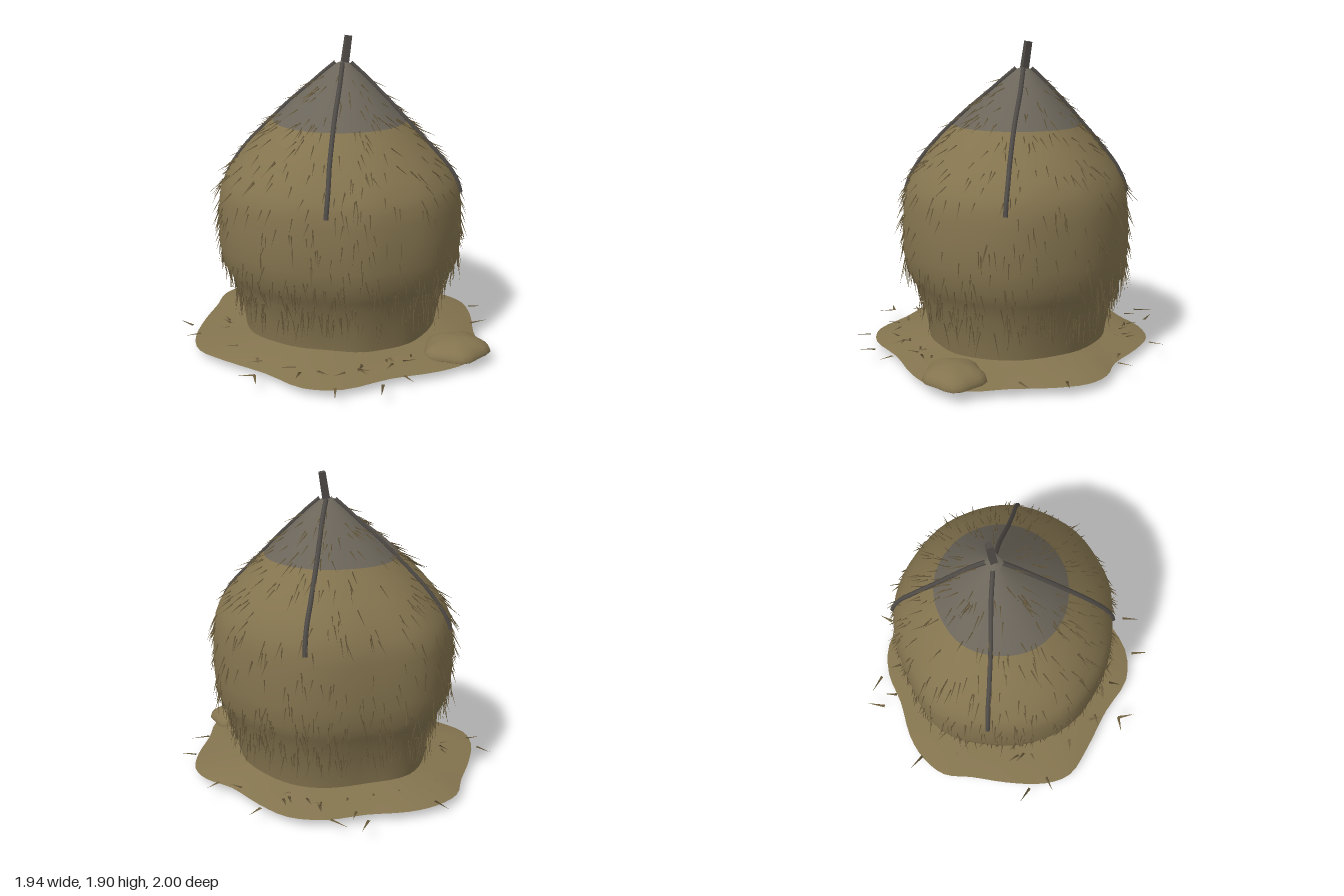
import * as THREE from 'three';
import { mergeGeometries } from 'three/addons/utils/BufferGeometryUtils.js';

const mat = (name, color, side = THREE.FrontSide) => {
  const m = new THREE.MeshStandardMaterial({ color, side });
  m.name = name;
  return m;
};

// Small seeded random source
function seeded(seed) {
  return () => {
    seed = (seed * 16807) % 2147483647;
    return seed / 2147483647;
  };
}

// Stack profile: height, radius, centre x, centre z
const PROFILE = [
  [0.05, 0.58, 0.005, 0], [0.12, 0.587, 0.005, 0], [0.25, 0.608, 0.01, 0], [0.38, 0.645, 0.01, 0],
  [0.46, 0.68, 0.01, 0], [0.54, 0.718, 0.005, 0.005], [0.66, 0.733, 0.0, 0.01], [0.8, 0.733, 0.0, 0.01],
  [0.92, 0.725, 0.0, 0.01], [1.0, 0.713, 0.0, 0.01], [1.07, 0.685, 0.005, 0.01], [1.15, 0.635, 0.01, 0.005],
  [1.24, 0.56, 0.01, 0], [1.32, 0.485, 0.015, -0.005], [1.4, 0.405, 0.02, -0.01], [1.5, 0.305, 0.03, -0.02],
  [1.6, 0.193, 0.045, -0.03], [1.68, 0.105, 0.052, -0.035], [1.73, 0.045, 0.055, -0.038],
];
const CAP_ROW = 14;

// Uneven outline: radius factor every 30 degrees, from +x towards +z
const LOBES = [1.02, 1.05, 1.03, 0.98, 0.93, 0.95, 1.0, 1.01, 1.06, 0.985, 1.0, 0.99];
function lobe(a) {
  const u = (((a / (Math.PI * 2)) % 1) + 1) % 1 * 12;
  const i = Math.floor(u), f = u - i, s = f * f * (3 - 2 * f);
  return LOBES[i % 12] * (1 - s) + LOBES[(i + 1) % 12] * s;
}

// Point on the stack at an angle and height
function stackPoint(a, y, grow = 0) {
  let i = 0;
  while (i < PROFILE.length - 2 && PROFILE[i + 1][0] < y) i++;
  const p = PROFILE[i], q = PROFILE[i + 1];
  const t = (y - p[0]) / (q[0] - p[0]);
  const [r, cx, cz] = [1, 2, 3].map((k) => p[k] + (q[k] - p[k]) * t);
  const k = 1.3 - 0.3 * THREE.MathUtils.smoothstep(y, 0.1, 0.5) - 0.6 * THREE.MathUtils.smoothstep(y, 1.0, 1.4);
  const R = r * (1 + (lobe(a) - 1) * k) + grow;
  return new THREE.Vector3(cx + R * Math.cos(a), y, cz + R * 0.97 * Math.sin(a));
}

// Skin over closed rings; point(row, angle) gives each vertex
function loft(rows, cols, point) {
  const pos = [], idx = [];
  for (let i = 0; i < rows; i++)
    for (let j = 0; j < cols; j++) pos.push(...point(i, (j / cols) * Math.PI * 2).toArray());
  for (let i = 0; i < rows - 1; i++)
    for (let j = 0; j < cols; j++) {
      const a = i * cols + j, b = i * cols + ((j + 1) % cols);
      idx.push(a, a + cols, b, b, a + cols, b + cols);
    }
  const g = new THREE.BufferGeometry();
  g.setAttribute('position', new THREE.Float32BufferAttribute(pos, 3));
  g.setIndex(idx);
  g.computeVertexNormals();
  return g;
}

// One tapered straw from its root to its tip
function straw(root, tip, width) {
  const d = tip.clone().sub(root);
  const g = new THREE.ConeGeometry(width, d.length(), 3);
  g.applyQuaternion(new THREE.Quaternion().setFromUnitVectors(new THREE.Vector3(0, 1, 0), d.normalize()));
  return g.translate(...root.clone().add(tip).multiplyScalar(0.5).toArray());
}

export function createModel() {
  const group = new THREE.Group();
  const hay = mat('hay', 0x84744f, THREE.DoubleSide);
  const cover = mat('weathered cover', 0x6b655a);
  const cord = mat('dark wood and cord', 0x504c48);
  const dry = mat('dry straw', 0x6f6040);
  const add = (name, geometry, material) => {
    const m = new THREE.Mesh(geometry, material);
    m.name = name;
    group.add(m);
    return m;
  };
  const rnd = seeded(4217);
  const V = (x, y, z) => new THREE.Vector3(x, y, z);

  // Stack, with the weathered cap as a second material group
  const cols = 60;
  const stack = loft(PROFILE.length, cols, (i, a) => stackPoint(a, PROFILE[i][0]));
  stack.addGroup(0, CAP_ROW * cols * 6, 0);
  stack.addGroup(CAP_ROW * cols * 6, (PROFILE.length - 1 - CAP_ROW) * cols * 6, 1);
  add('stack', stack, [hay, cover]);
  add('stackTip', new THREE.ConeGeometry(0.046, 0.015, 12).translate(0.055, 1.737, -0.038), cover);
  add('stackBase', loft(2, cols, (i, a) => (i ? stackPoint(a, 0.05) : V(0, 0.05, 0))), cover);

  // Loose mound around the foot, a sloping skin open beneath
  const rim = new THREE.CatmullRomCurve3([
    [0.905, 0.03], [0.86, 0.22], [0.75, 0.45], [0.67, 0.66], [0.5, 0.8], [0.3, 0.83], [0.0, 0.8], [-0.3, 0.81],
    [-0.5, 0.71], [-0.64, 0.47], [-0.82, 0.22], [-0.92, 0.04], [-0.9, -0.14], [-0.78, -0.37], [-0.64, -0.57],
    [-0.54, -0.73], [-0.38, -0.81], [-0.2, -0.83], [0.05, -0.79], [0.28, -0.78], [0.48, -0.69], [0.61, -0.51],
    [0.73, -0.27], [0.86, -0.12],
  ].map(([x, z]) => V(x, 0.05, z)), true);
  add('mound', loft(5, 72, (i, a) => {
    const edge = rim.getPoint((a / (Math.PI * 2)) % 1);
    const dir = Math.atan2(edge.z, edge.x), t = i / 4;
    const top = 0.112 + 0.008 * Math.sin(3 * dir + 1);
    return edge.lerp(stackPoint(dir, 0.11, -0.01), t).setY(0.05 + (top - 0.05) * Math.pow(t, 0.85));
  }), hay);

  // Loose clump by the front left of the mound
  const clump = new THREE.SphereGeometry(1, 24, 14);
  const cp = clump.attributes.position;
  for (let i = 0; i < cp.count; i++) {
    const a = Math.atan2(cp.getZ(i), cp.getX(i));
    const k = 1 + 0.07 * Math.cos(5 * a - 2.4) + 0.04 * Math.cos(2 * a - 0.5);
    const y = cp.getY(i);
    cp.setXYZ(i, cp.getX(i) * k * 0.195, y * (y > 0 ? 0.088 : 0.02), cp.getZ(i) * k * 0.178);
  }
  clump.computeVertexNormals();
  add('clump', clump, hay).position.set(0.5, 0.07, 0.66);

  // Centre pole, roughly squared
  const pole = new THREE.CylinderGeometry(0.026, 0.03, 0.24, 4).toNonIndexed();
  pole.computeVertexNormals();
  const poleMesh = add('pole', pole, cord);
  poleMesh.position.set(0.073, 1.775, -0.041);
  poleMesh.rotation.set(-0.06, 0.7, -0.17, 'XZY');

  // Four cords lying over the stack, half sunk into it
  [[-0.57, -0.4], [0.37, -0.65], [0.64, 0.4], [-0.31, 0.58]].forEach(([x, z]) => {
    const a = Math.atan2(z / 0.97, x), pts = [];
    for (let i = 0; i <= 12; i++) pts.push(stackPoint(a, 1.735 - 0.755 * (i / 12), 0.007));
    add('cord', new THREE.TubeGeometry(new THREE.CatmullRomCurve3(pts), 30, 0.014, 6), cord);
  });

  // Straws hanging from the stack: yLow, yHigh, count, length, outward lean
  const hanging = [];
  [[0.55, 1.68, 560, 0.1, 0.36], [0.36, 0.62, 230, 0.135, 0.36], [0.28, 0.42, 190, 0.13, 0.38]].forEach(
    ([lo, hi, count, len, lean]) => {
      for (let n = 0; n < count; n++) {
        const a = rnd() * Math.PI * 2;
        const y = lo + (hi - lo) * (hi > 1 ? Math.pow(rnd(), 0.9) : rnd());
        if (hi > 1 && y > 1.45 && rnd() < (y - 1.4) * 2.5) continue;
        const root = stackPoint(a, y);
        const down = stackPoint(a, y - 0.04).sub(root).normalize();
        const side = V(-Math.sin(a), 0, Math.cos(a));
        const out = side.clone().cross(down).normalize();
        if (out.x * Math.cos(a) + out.z * Math.sin(a) < 0) out.negate();
        const dir = down.addScaledVector(out, lean * (0.4 + rnd())).addScaledVector(side, (rnd() - 0.5) * 0.5);
        const tip = root.clone().addScaledVector(dir.normalize(), len * (0.7 + 0.6 * rnd()));
        hanging.push(straw(root, tip, 0.0048));
      }
    });
  add('hangingStraw', mergeGeometries(hanging), dry);

  // Flat straws scattered on the ground
  const flat = (x, z, u, w, y) => straw(V(x, 0, z), V(u, 0, w), 0.012).scale(1, 0.15, 1).translate(0, y, 0);
  const scattered = [
    [0.07, -0.9, 0.14, -1.0], [0.11, -0.79, 0.15, -0.87], [0.27, -0.83, 0.2, -0.94], [-0.37, -0.81, -0.41, -0.92],
    [0.62, -0.6, 0.7, -0.66], [-0.89, -0.25, -0.94, -0.35], [-0.87, -0.12, -0.97, -0.12], [-0.72, 0.52, -0.82, 0.49],
    [-0.72, 0.52, -0.75, 0.63], [-0.09, 0.9, -0.15, 1.0], [0.06, 0.85, 0.08, 0.94], [-0.35, 0.83, -0.4, 0.94],
    [0.88, 0.16, 0.97, 0.2], [0.76, 0.39, 0.88, 0.39], [0.8, -0.24, 0.88, -0.29],
  ].map(([x, z, u, w]) => flat(x, z, u, w, 0.083));
  for (let n = 0; n < 50; n++) {
    const a = rnd() * Math.PI * 2, b = a + (rnd() - 0.5) * 3, r = 0.6 + 0.18 * rnd();
    const x = r * Math.cos(a), z = r * Math.sin(a) * 0.95;
    scattered.push(flat(x, z, x + Math.cos(b) * 0.085, z + Math.sin(b) * 0.085, 0.08 + 0.01 * rnd()));
  }
  // A few stray ends poking out beneath
  for (let n = 0; n < 8; n++) {
    const x = -0.2 + 0.08 * n, z = 0.66 * (n % 2 ? 1 : -1);
    scattered.push(straw(V(x, 0.1, z), V(x + 0.01, n % 3 ? 0.025 : 0, z * 1.03), 0.007));
  }
  add('scatteredStraw', mergeGeometries(scattered), dry);
  return group;
}
